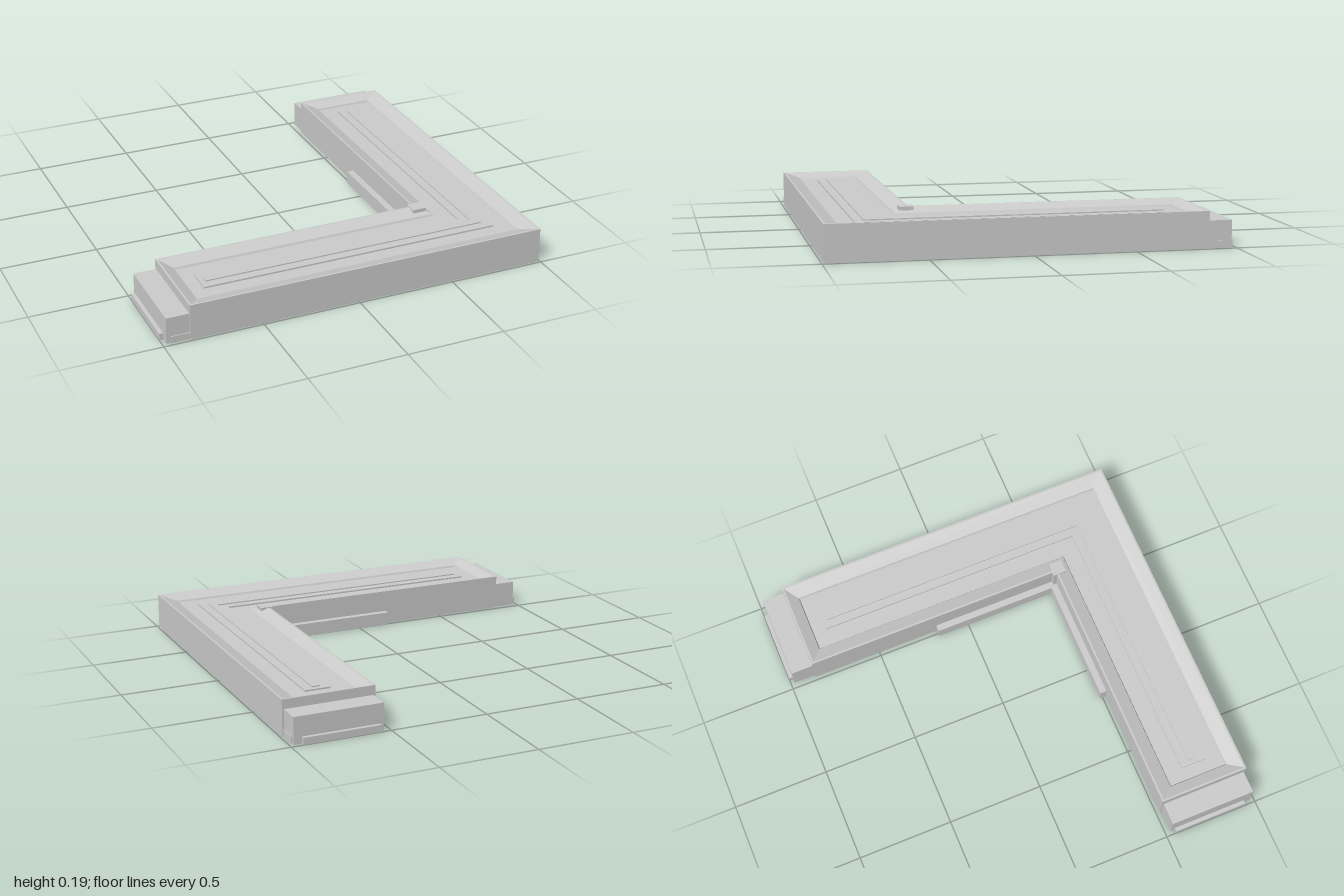
import * as THREE from 'three';

const material = new THREE.MeshStandardMaterial({ color: 0xcccccc, flatShading: true });

// L-shaped outline: inner edge a, outer edge b, arm end e, at height y
const ring = ([a, b, e, y]) =>
  [[b, b], [e, b], [e, a], [a, a], [a, e], [b, e]].map(([x, z]) => [x, y, z]);

// Skins a stack of L outlines and caps the bottom and the top
function loftL(levels) {
  const rings = levels.map(ring);
  const pos = [];
  const quad = (p, q, r, s) => pos.push(...p, ...q, ...r, ...p, ...r, ...s);
  for (let k = 0; k < rings.length - 1; k++) {
    for (let i = 0; i < 6; i++) {
      const j = (i + 1) % 6;
      quad(rings[k][j], rings[k][i], rings[k + 1][i], rings[k + 1][j]);
    }
  }
  const lo = rings[0], hi = rings[rings.length - 1];
  quad(lo[0], lo[1], lo[2], lo[3]);
  quad(lo[0], lo[3], lo[4], lo[5]);
  quad(hi[3], hi[2], hi[1], hi[0]);
  quad(hi[5], hi[4], hi[3], hi[0]);
  const geo = new THREE.BufferGeometry();
  geo.setAttribute('position', new THREE.Float32BufferAttribute(pos, 3));
  geo.computeVertexNormals();
  return geo;
}

export function createModel() {
  const model = new THREE.Group();
  model.name = 'cornerSection';

  const add = (name, geo) => {
    const mesh = new THREE.Mesh(geo, material);
    mesh.name = name;
    model.add(mesh);
    return mesh;
  };
  // Box standing on the ground between two corners
  const box = (name, x0, x1, z0, z1, h) =>
    add(name, new THREE.BoxGeometry(x1 - x0, h, z1 - z0))
      .position.set((x0 + x1) / 2, h / 2, (z0 + z1) / 2);
  // The same box on both arms, mirrored across the corner diagonal
  const pair = (name, x0, x1, z0, z1, h) => {
    box(name + 'Right', x0, x1, z0, z1, h);
    box(name + 'Back', z0, z1, x0, x1, h);
  };

  // Body with a sloping rim, sunken top and stepped centre panels
  add('body', loftL([
    [0.52, 0.99, -0.865, 0],
    [0.52, 0.99, -0.865, 0.183],
    [0.53, 0.98, -0.855, 0.183],
    [0.595, 0.91, -0.8, 0.16],
    [0.6, 0.905, -0.795, 0.15],
    [0.69, 0.82, -0.73, 0.15],
    [0.69, 0.82, -0.73, 0.158],
    [0.735, 0.775, -0.705, 0.158],
    [0.735, 0.775, -0.705, 0.164],
  ]));

  // Lower blocks and skirts at the arm ends
  pair('endBlock', -0.98, -0.86, 0.53, 0.98, 0.135);
  pair('endFoot', -1, -0.97, 0.55, 0.94, 0.035);
  pair('endSkirt', -0.96, -0.86, 0.54, 0.985, 0.035);

  // Ledges along the inner walls and a post in the inner corner
  pair('innerLedge', -0.17, 0.53, 0.485, 0.53, 0.07);
  box('innerCornerPost', 0.5, 0.57, 0.5, 0.57, 0.187);

  return model;
}
